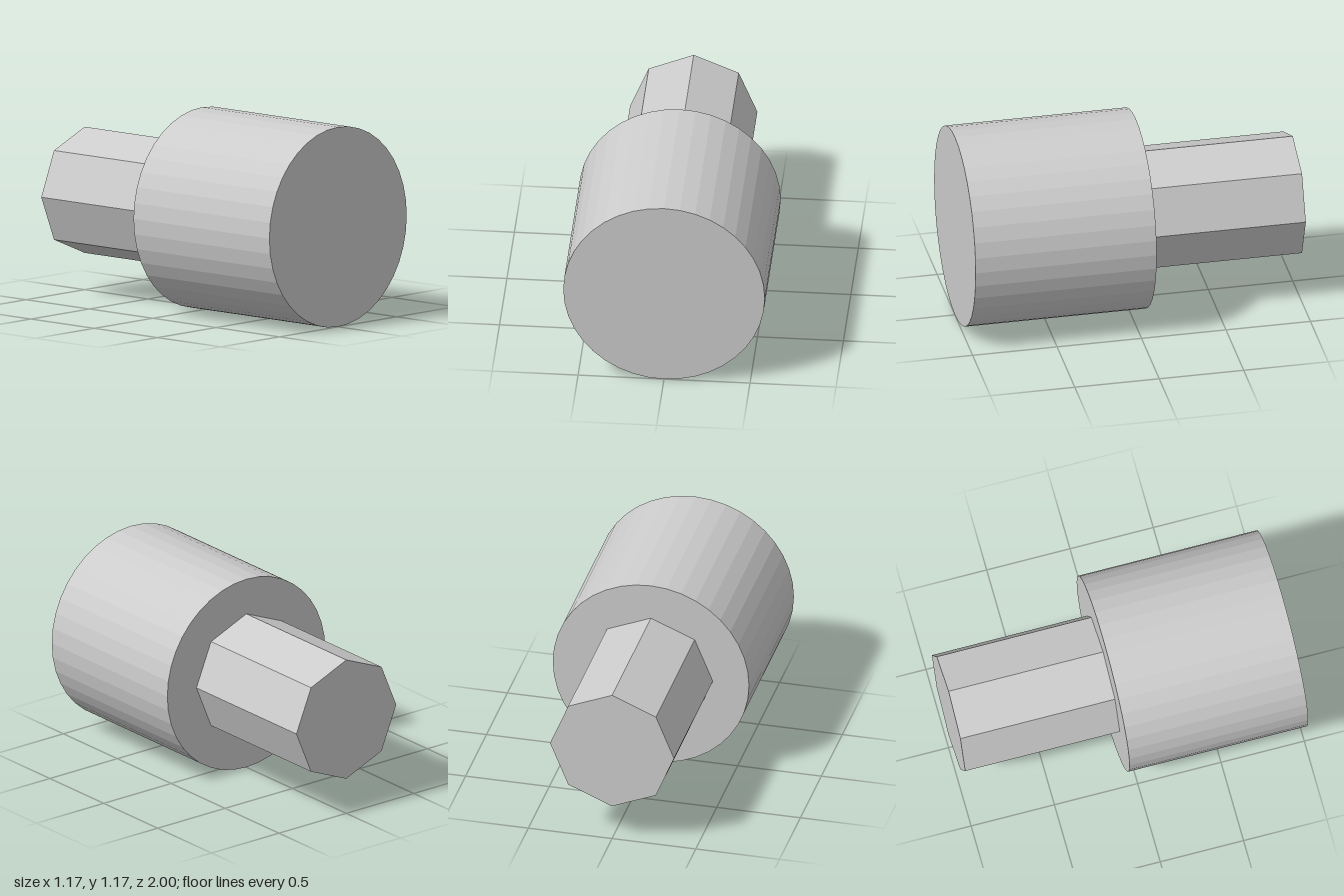
import * as THREE from 'three';

const CENTER_Y = 0.586;

export function createModel() {
  const model = new THREE.Group();
  const grey = new THREE.MeshStandardMaterial({ color: 0xcccccc, flatShading: true });
  grey.name = 'plain grey';

  // Faceted prism lying along z, with a corner pointing straight up
  function addPrism(name, radius, sides, zBack, zFront) {
    const geometry = new THREE.CylinderGeometry(radius, radius, zFront - zBack, sides);
    geometry.rotateX(Math.PI / 2);
    const mesh = new THREE.Mesh(geometry, grey);
    mesh.name = name;
    mesh.position.set(0, CENTER_Y, (zFront + zBack) / 2);
    model.add(mesh);
  }

  addPrism('head', 0.586, 40, -0.072, 1); // wide round front
  addPrism('shank', 0.37, 8, -1, -0.072); // octagonal rear

  return model;
}
